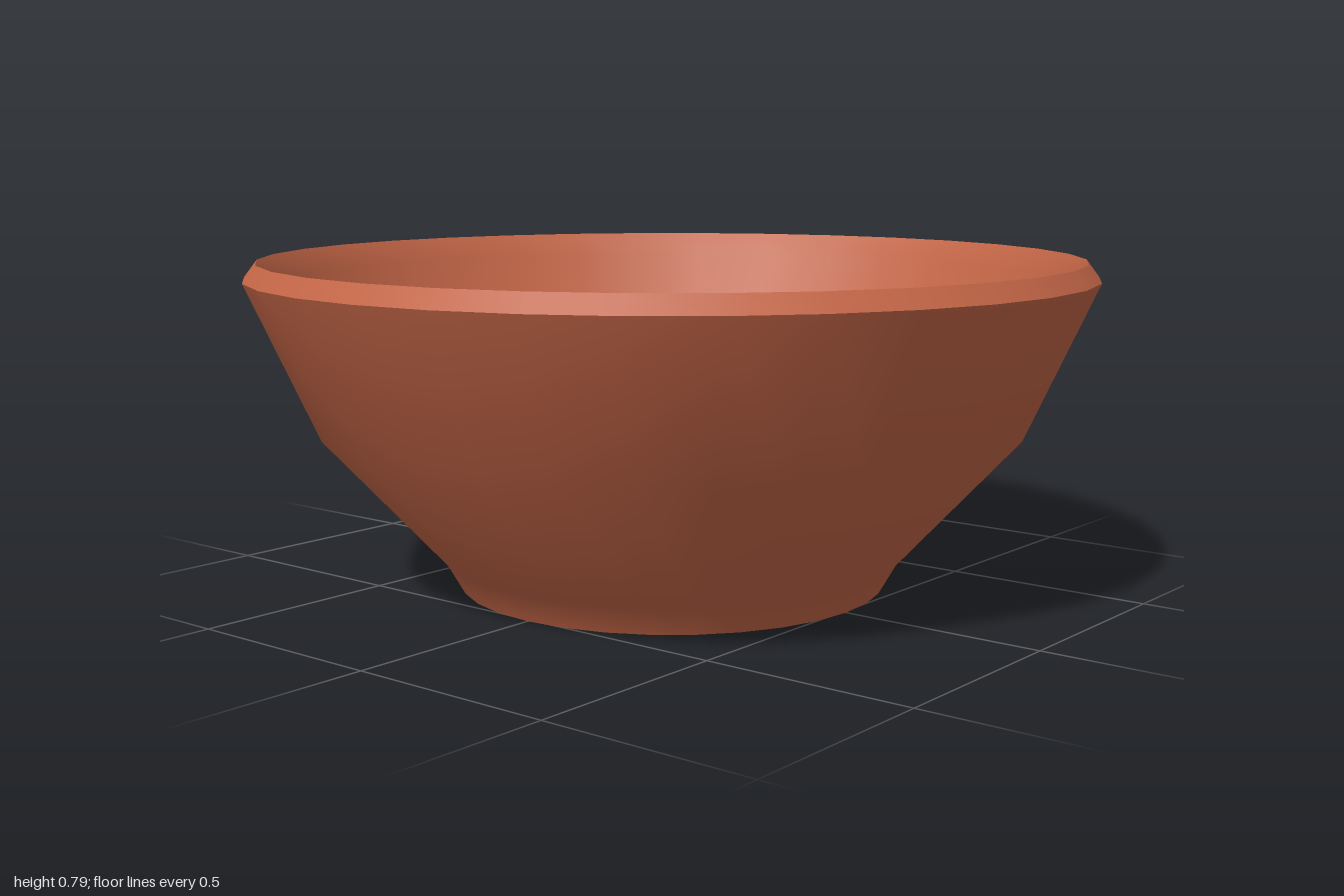
import * as THREE from 'three';

const SEGMENTS = 32;

export function createModel() {
  const bowl = new THREE.Group();
  bowl.name = 'bowl';
  const terracotta = new THREE.MeshStandardMaterial({ color: 0xc26546 });
  terracotta.name = 'terracotta';

  // Each section is its own lathe, so normals stay smooth within it and sharp between sections.
  const addSection = (name, profile) => {
    const points = profile.map(([r, y]) => new THREE.Vector2(r, y));
    const mesh = new THREE.Mesh(new THREE.LatheGeometry(points, SEGMENTS), terracotta);
    mesh.name = name;
    bowl.add(mesh);
  };

  // Profile runs from the underside, up the outside, over the rim and down the inside
  addSection('base', [[0, 0], [0.51, 0]]);
  addSection('outerWall', [[0.51, 0], [0.55, 0.07], [0.835, 0.38], [1, 0.745]]);
  addSection('rim', [[1, 0.745], [0.97, 0.785]]);
  addSection('innerWall', [[0.97, 0.785], [0.93, 0.73], [0.78, 0.4], [0.47, 0.06]]);
  addSection('floor', [[0.47, 0.06], [0, 0.06]]);

  return bowl;
}
